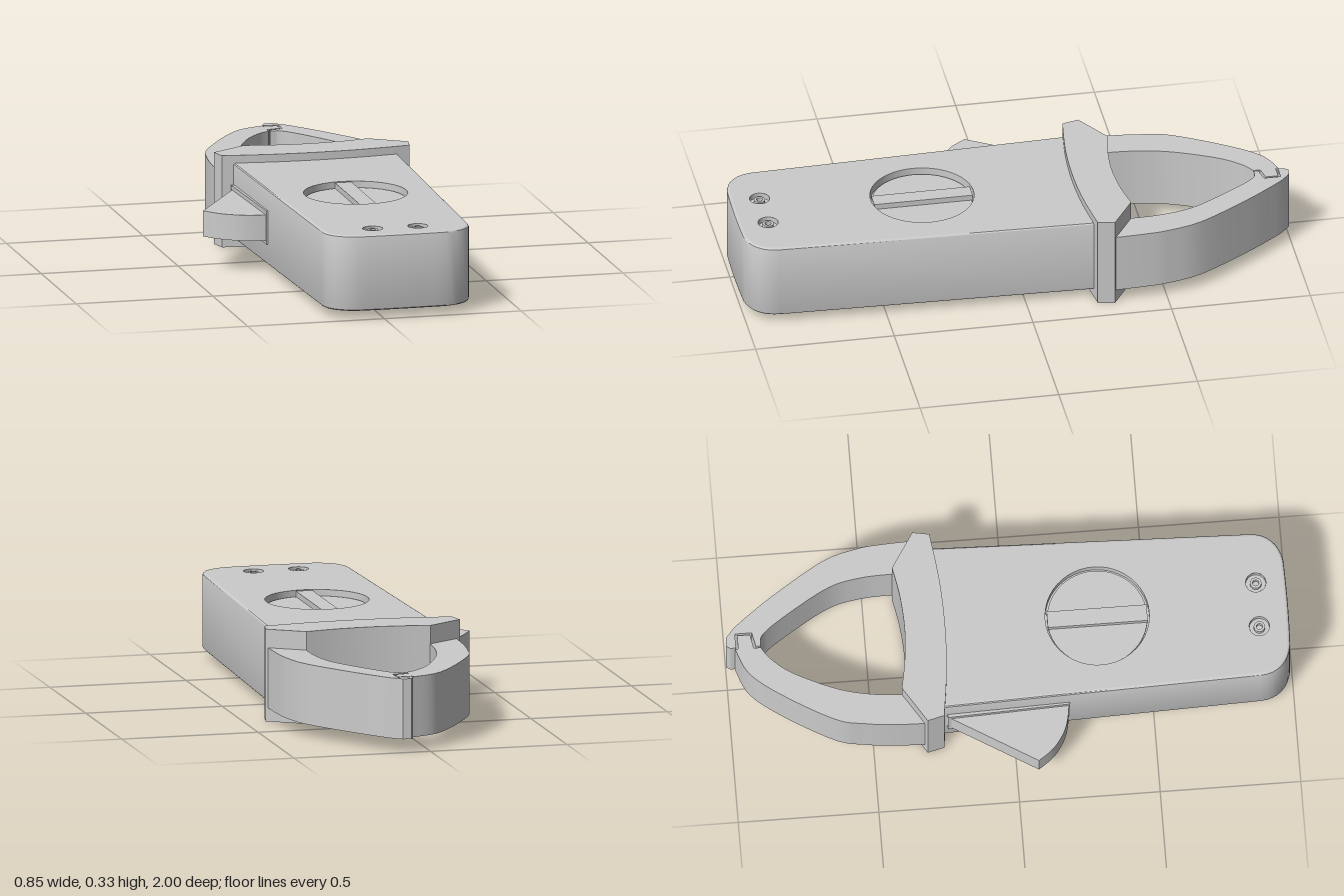
import * as THREE from 'three';
import { toCreasedNormals } from 'three/addons/utils/BufferGeometryUtils.js';

const grey = new THREE.MeshStandardMaterial({ color: 0xcccccc });
const greyTwoSided = new THREE.MeshStandardMaterial({ color: 0xcccccc, side: THREE.DoubleSide });
const CX = 0.068; // middle of the body

// plan points are [x, z]; the shape's y axis is -z
const v = ([x, z]) => new THREE.Vector2(x, -z);

// plan outline from runs: 'line' points are corners, 'curve' points are splined
function plan(start, ...runs) {
  const s = new THREE.Shape();
  s.moveTo(start[0], -start[1]);
  for (const [kind, pts] of runs) {
    if (kind === 'curve') s.splineThru(pts.map(v));
    else pts.forEach(([x, z]) => s.lineTo(x, -z));
  }
  return s;
}

function extrudeUp(shape, y0, y1, bevel = 0) {
  const g = new THREE.ExtrudeGeometry(shape, {
    depth: y1 - y0 - 2 * bevel, curveSegments: 8, bevelEnabled: bevel > 0,
    bevelSize: bevel, bevelThickness: bevel, bevelSegments: 3,
  });
  g.rotateX(-Math.PI / 2).translate(0, y0 + bevel, 0);
  return g;
}

// drop the flat top so that a cap with openings can replace it
function withoutTop(g, top) {
  const p = g.attributes.position, keep = [];
  for (let i = 0; i < p.count; i += 3) {
    if ([0, 1, 2].every(k => p.getY(i + k) > top - 1e-4)) continue;
    for (let k = 0; k < 3; k++) keep.push(p.getX(i + k), p.getY(i + k), p.getZ(i + k));
  }
  const out = new THREE.BufferGeometry();
  out.setAttribute('position', new THREE.Float32BufferAttribute(keep, 3));
  return out;
}

export function createModel() {
  const model = new THREE.Group();
  const add = (name, geo, mat = grey, parent = model) => {
    const m = new THREE.Mesh(geo, mat);
    m.name = name;
    parent.add(m);
    return m;
  };
  const solid = (name, shape, y0, y1, bevel) =>
    add(name, toCreasedNormals(extrudeUp(shape, y0, y1, bevel), 0.5));

  // tapered handle with rounded front corners
  const top = 0.305;
  const outline = () => {
    const s = new THREE.Shape();
    s.moveTo(-0.226, 0.28);
    s.lineTo(-0.19, -0.88);
    s.bezierCurveTo(-0.188, -0.94, -0.15, -0.975, -0.09, -0.984);
    s.quadraticCurveTo(CX, -0.991, 0.226, -0.984);
    s.bezierCurveTo(0.286, -0.975, 0.324, -0.94, 0.326, -0.88);
    s.lineTo(0.36, 0.28);
    return s;
  };
  add('handle', toCreasedNormals(withoutTop(extrudeUp(outline(), 0.03, top, 0.01), top), 0.5));

  // handle top with openings for the dial and the two sockets
  const wells = [
    { name: 'dial', x: CX, z: 0.32, r: 0.185, depth: 0.03, n: 48 },
    { name: 'leftSocket', x: 0.15, z: 0.89, r: 0.036, depth: 0.02, n: 24 },
    { name: 'rightSocket', x: -0.015, z: 0.89, r: 0.036, depth: 0.02, n: 24 },
  ];
  const cap = outline();
  for (const w of wells) {
    const hole = new THREE.Path();
    hole.absarc(w.x, -w.z, w.r, 0, Math.PI * 2, true);
    cap.holes.push(hole);
  }
  add('handleTop', new THREE.ShapeGeometry(cap, 24).rotateX(-Math.PI / 2).translate(0, top, 0));

  for (const w of wells) {
    const g = new THREE.Group();
    g.name = w.name;
    g.position.set(w.x, top - w.depth, w.z);
    model.add(g);
    add('well', new THREE.CylinderGeometry(w.r, w.r, w.depth, w.n, 1, true).translate(0, w.depth / 2, 0), greyTwoSided, g);
    add('wellFloor', new THREE.CircleGeometry(w.r, w.n).rotateX(-Math.PI / 2), grey, g);
    if (w.name === 'dial') {
      add('dialDisc', new THREE.CylinderGeometry(0.178, 0.178, 0.008, 48).translate(0, 0.004, 0), grey, g);
      add('dialGrip', new THREE.BoxGeometry(0.06, 0.028, 0.355).translate(0, 0.014, 0), grey, g);
    } else {
      // small raised ring in the socket
      const ring = [[0.011, 0], [0.011, 0.016], [0.02, 0.016], [0.02, 0]].map(([x, y]) => new THREE.Vector2(x, y));
      add('socketRing', toCreasedNormals(new THREE.LatheGeometry(ring, 24), 0.5), greyTwoSided, g);
    }
  }

  // curved hand guard between handle and jaws
  solid('handGuard', plan([-0.275, -0.25],
    ['curve', [[-0.1, -0.228], [CX, -0.221], [0.236, -0.228], [0.411, -0.25]]],
    ['line', [[0.422, -0.31], [0.295, -0.392]]],
    ['curve', [[0.19, -0.373], [CX, -0.365], [-0.05, -0.373], [-0.16, -0.392]]],
    ['line', [[-0.29, -0.31]]]), 0, 0.333);

  // two jaws meeting in a tongue and groove at the tip
  const [jawBottom, jawTop] = [0.048, 0.266];
  solid('rightJaw', plan([-0.276, -0.29],
    ['curve', [[-0.272, -0.42], [-0.26, -0.53], [-0.235, -0.635], [-0.13, -0.815], [-0.04, -0.925], [0.055, -0.968]]],
    ['line', [[0.055, -0.957], [0.106, -0.957], [0.106, -0.912], [0.055, -0.902], [0.055, -0.877]]],
    ['curve', [[0.01, -0.845], [-0.05, -0.77], [-0.12, -0.62], [-0.15, -0.5], [-0.16, -0.385]]],
    ['line', [[-0.16, -0.29]]]), jawBottom, jawTop);
  solid('leftJaw', plan([0.415, -0.29],
    ['curve', [[0.41, -0.42], [0.4, -0.51], [0.362, -0.635], [0.25, -0.815], [0.17, -0.925], [0.135, -0.968]]],
    ['line', [[0.1, -0.998], [0.07, -1], [0.06, -0.985], [0.06, -0.965], [0.113, -0.965],
      [0.113, -0.905], [0.061, -0.894], [0.061, -0.877]]],
    ['curve', [[0.105, -0.865], [0.175, -0.77], [0.262, -0.62], [0.29, -0.5], [0.295, -0.385]]],
    ['line', [[0.295, -0.29]]]), jawBottom, jawTop);

  // trigger on the right side, with its raised surround
  solid('triggerSurround', plan([-0.246, -0.235],
    ['line', [[-0.228, 0.2], [-0.18, 0.2], [-0.18, -0.235]]]), 0.107, 0.228);
  solid('trigger', plan([-0.235, -0.24],
    ['line', [[-0.427, 0.075]]],
    ['curve', [[-0.385, 0.13], [-0.33, 0.17], [-0.28, 0.188], [-0.225, 0.197]]],
    ['line', [[-0.18, 0.197], [-0.18, -0.24]]]), 0.12, 0.213);

  return model;
}
